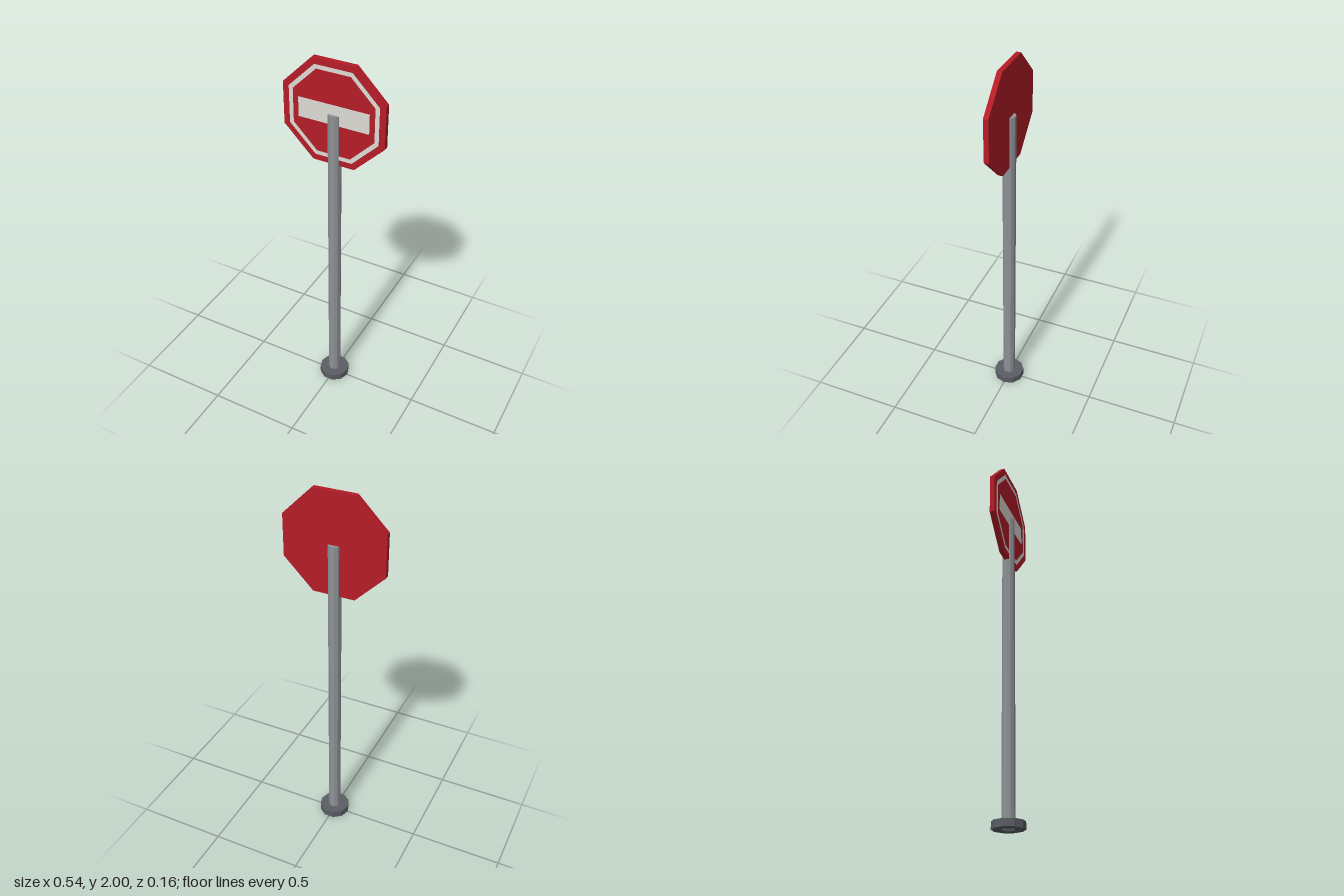
import * as THREE from 'three';

const SIGN_Y = 1.73;
const PLATE_DEPTH = 0.026;

const paint = (color) => new THREE.MeshStandardMaterial({ color, flatShading: true });

// Corners of a regular octagon with flat top, given centre-to-side distance
function octagon(apothem) {
  const r = apothem / Math.cos(Math.PI / 8);
  return Array.from({ length: 8 }, (_, i) => {
    const a = (i + 0.5) * Math.PI / 4;
    return new THREE.Vector2(r * Math.cos(a), r * Math.sin(a));
  });
}

export function createModel() {
  const model = new THREE.Group();
  model.name = 'roadSign';
  const red = paint(0xb41c27);
  const white = paint(0xdcdbd4);
  const add = (name, geometry, material, y, z = 0) => {
    const mesh = new THREE.Mesh(geometry, material);
    mesh.name = name;
    mesh.position.set(0, y, z);
    model.add(mesh);
    return mesh;
  };

  // Ten-sided foot and pole, each with a corner on the x axis
  const tenSided = (radius, height) =>
    new THREE.CylinderGeometry(radius, radius, height, 10).rotateY(Math.PI / 2);
  add('base', tenSided(0.084, 0.039), paint(0x5a5d64), 0.0205);
  add('pole', tenSided(0.034, SIGN_Y), paint(0x8e9296), SIGN_Y / 2);

  // Octagonal plate
  const plate = new THREE.ExtrudeGeometry(new THREE.Shape(octagon(0.271)), {
    depth: PLATE_DEPTH, bevelEnabled: false,
  });
  add('signPlate', plate, red, SIGN_Y, -PLATE_DEPTH / 2);

  // Painted border and bar, just proud of the front face
  const border = new THREE.Shape(octagon(0.239));
  border.holes.push(new THREE.Path(octagon(0.217).reverse()));
  const front = PLATE_DEPTH / 2 + 0.001;
  add('border', new THREE.ShapeGeometry(border), white, SIGN_Y, front);
  add('bar', new THREE.PlaneGeometry(0.378, 0.106), white, SIGN_Y, front);

  return model;
}
